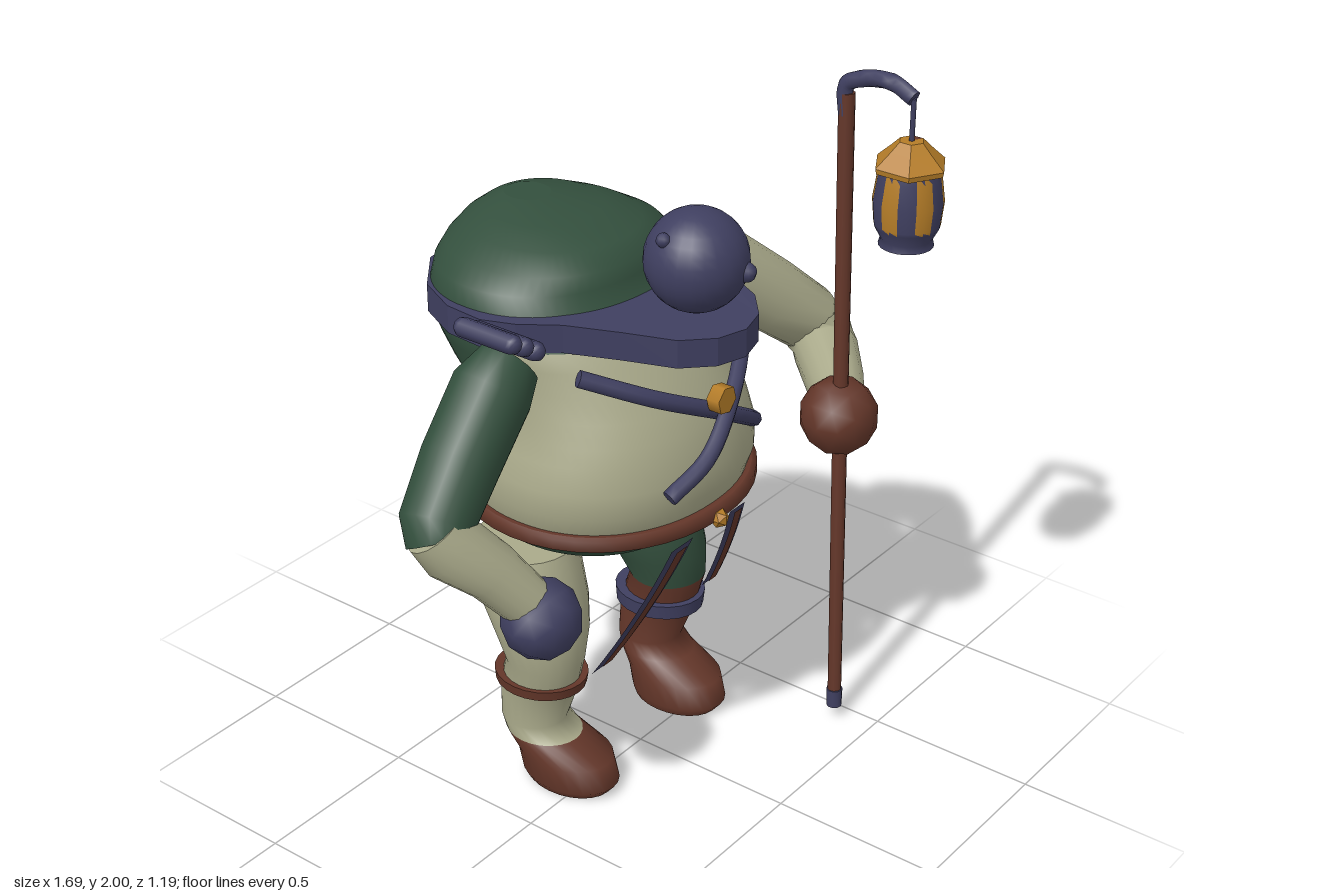
import * as THREE from 'three';

const mat = (name, color) => Object.assign(new THREE.MeshStandardMaterial({ color }), { name });

export function createModel() {
  const cream = mat('cream cloth', 0xa9a98a);
  const green = mat('green cloth', 0x334f3d);
  const blue = mat('slate blue', 0x3f3f60);
  const brown = mat('brown leather', 0x633629);
  const gold = mat('gold', 0xb57d28);
  const blueSheet = mat('slate blue strip', 0x3f3f60);
  blueSheet.side = THREE.DoubleSide;

  const model = new THREE.Group();
  const V = (x, y, z) => new THREE.Vector3(x, y, z);
  const add = (name, geo, material, pos = [0, 0, 0], rot = [0, 0, 0]) => {
    const m = new THREE.Mesh(geo, material);
    m.name = name;
    m.position.set(...pos);
    m.rotation.set(...rot);
    model.add(m);
    return m;
  };

  // Skin over a list of rings, capped at both ends; pick(centroid) gives the material index
  function skin(rings, pick = () => 0) {
    const n = rings[0].length, verts = rings.flat(), lists = [[], [], [], []];
    const tri = (a, b, c) => {
      const mid = verts[a].clone().add(verts[b]).add(verts[c]).divideScalar(3);
      lists[pick(mid)].push(a, b, c);
    };
    for (let i = 0; i < rings.length - 1; i++) {
      for (let j = 0; j < n; j++) {
        const a = i * n + j, b = i * n + (j + 1) % n;
        tri(a, b, a + n);
        tri(b, b + n, a + n);
      }
    }
    [rings[0], rings[rings.length - 1]].forEach((ring, end) => {
      const start = verts.length;
      ring.forEach((p) => verts.push(p.clone()));
      const centre = ring.reduce((s, p) => s.add(p), V(0, 0, 0)).divideScalar(n);
      verts.push(centre);
      for (let j = 0; j < n; j++) {
        const a = start + j, b = start + (j + 1) % n;
        if (end) tri(start + n, a, b); else tri(start + n, b, a);
      }
    });
    const geo = new THREE.BufferGeometry().setFromPoints(verts);
    geo.setIndex(lists.flat());
    let at = 0;
    lists.forEach((l, k) => { if (l.length) geo.addGroup(at, l.length, k); at += l.length; });
    geo.computeVertexNormals();
    return geo;
  }

  // Horizontal ring: height, centre x, half width, front z, back z
  function ring([y, cx, w, front, back], n = 24, power = 1) {
    const bend = (v) => Math.sign(v) * Math.abs(v) ** power;
    return Array.from({ length: n }, (_, j) => {
      const a = (j / n) * Math.PI * 2;
      return V(cx + w * bend(Math.sin(a)), y, (front + back) / 2 + (front - back) / 2 * bend(Math.cos(a)));
    });
  }

  // Limb along points [x, y, z, radius]
  function limb(points, n = 16) {
    const p = points.map((q) => V(q[0], q[1], q[2]));
    return skin(p.map((c, i) => {
      const t = p[Math.min(i + 1, p.length - 1)].clone().sub(p[Math.max(i - 1, 0)]).normalize();
      const u = V(0.1, 0.1, 1).projectOnPlane(t).normalize();
      const v = t.clone().cross(u);
      return Array.from({ length: n }, (_, j) => {
        const a = (j / n) * Math.PI * 2;
        return c.clone().addScaledVector(u, points[i][3] * Math.cos(a)).addScaledVector(v, points[i][3] * Math.sin(a));
      });
    }));
  }
  const tube = (pts, r, n = 8) => limb(new THREE.CatmullRomCurve3(pts.map((q) => V(...q))).getPoints(20).map((q) => [q.x, q.y, q.z, r]), n);

  // Body with hunched green back
  const body = [
    [0.75, 0, 0.29, 0.12, -0.46], [0.82, 0, 0.36, 0.2, -0.47], [0.87, 0, 0.395, 0.24, -0.465],
    [0.95, 0, 0.415, 0.265, -0.455], [1.02, 0, 0.412, 0.265, -0.445], [1.09, 0, 0.39, 0.25, -0.43],
    [1.14, 0, 0.375, 0.235, -0.42], [1.2, 0, 0.365, 0.21, -0.47], [1.27, 0, 0.365, 0.17, -0.54],
    [1.33, 0, 0.375, 0.13, -0.57], [1.38, 0, 0.385, 0.09, -0.585], [1.46, 0, 0.375, 0.02, -0.585],
    [1.51, 0, 0.35, 0, -0.58], [1.55, 0, 0.305, -0.01, -0.565], [1.59, 0, 0.235, -0.06, -0.535],
    [1.62, 0, 0.16, -0.17, -0.495], [1.64, 0, 0.06, -0.32, -0.45],
  ];
  add('body', skin(body.map((r) => ring(r, 64, 0.93)), (c) =>
    (c.y < 0.87 || c.y > 1.4 || (c.y > 1.14 && c.z < -0.13 - (c.y - 1.14) * 0.4) ? 1 : 0)), [cream, green]);

  // Scarf band, pointed over the chest
  const half = [[0, 0.345], [0.09, 0.32], [0.17, 0.25], [0.23, 0.12], [0.3, -0.02], [0.37, -0.12], [0.405, -0.21],
    [0.395, -0.33], [0.33, -0.46], [0.2, -0.565], [0, -0.6]];
  const outline = [...half, ...half.slice(1, -1).reverse().map(([x, z]) => [-x, z])].map((q) => new THREE.Vector2(...q));
  const scarf = new THREE.ExtrudeGeometry(new THREE.Shape(outline), { depth: 0.08, bevelEnabled: false });
  scarf.rotateX(Math.PI / 2).translate(0, 1.465, 0);
  const sp = scarf.attributes.position;
  for (let i = 0; i < sp.count; i++) sp.setY(i, sp.getY(i) - 0.05 * Math.max(0, sp.getZ(i)));
  scarf.computeVertexNormals();
  add('scarf', scarf, blue);
  [[-0.5, 1.49], [-0.455, 1.465], [-0.41, 1.435]].forEach(([x, y]) =>
    add('scarfKnot', new THREE.CapsuleGeometry(0.027, 0.16, 4, 8), blue, [x, y, -0.1], [Math.PI / 2, 0, 0]));

  // Head
  add('head', new THREE.SphereGeometry(0.14, 24, 16), blue, [-0.01, 1.605, 0.19]);
  add('nose', new THREE.SphereGeometry(0.027, 8, 6), blue, [0.03, 1.59, 0.32]);
  add('ear', new THREE.SphereGeometry(0.02, 8, 6), blue, [-0.12, 1.69, 0.165]);

  // Belt, buckle and chest straps
  add('belt', skin([[0.855, 0, 0.415, 0.265, -0.48], [0.86, 0, 0.428, 0.28, -0.49],
    [0.89, 0, 0.428, 0.28, -0.49], [0.897, 0, 0.415, 0.265, -0.48]].map((r) => ring(r, 40, 0.95))), brown);
  add('buckle', new THREE.IcosahedronGeometry(0.028), gold, [-0.015, 0.865, 0.28]);
  add('chestStrap', tube([[-0.35, 1.36, 0.07], [-0.2, 1.28, 0.2], [0, 1.18, 0.26], [0.14, 1.1, 0.25], [0.25, 1.03, 0.2]], 0.023), blue);
  add('chestStrap', tube([[0.32, 1.37, 0.07], [0.2, 1.3, 0.19], [0, 1.19, 0.29], [-0.12, 1.1, 0.31], [-0.24, 1.03, 0.28]], 0.023), blue);
  add('medallion', new THREE.CylinderGeometry(0.04, 0.04, 0.04, 6), gold, [-0.03, 1.24, 0.29], [Math.PI / 2, 0.3, 0]);
  add('backCord', tube([[0.17, 1.01, -0.425], [0.17, 1.08, -0.435], [0.13, 1.14, -0.44], [0.1, 1.19, -0.48]], 0.018), cream);

  // Hanging tabs: curved strips with a leather face
  function tab(x0, y0, x1, y1, width) {
    const strip = (w, lift, trim) => {
      const g = new THREE.PlaneGeometry(w, 1, 1, 8), p = g.attributes.position;
      for (let i = 0; i < p.count; i++) {
        const t = trim + (0.5 - p.getY(i)) * (1 - 2 * trim);
        const y = y0 + (y1 - y0) * t, d = 0.83 - y;
        p.setXYZ(i, p.getX(i) + x0 + (x1 - x0) * t, y, 0.25 - 0.4 * d - 0.24 * d * d + lift);
      }
      g.computeVertexNormals();
      return g;
    };
    add('tabEdge', strip(width, 0, 0), blueSheet);
    add('tabFace', strip(width * 0.5, 0.006, 0.03), brown);
  }
  tab(-0.14, 0.83, -0.19, 0.365, 0.095);
  tab(0.11, 0.83, 0.235, 0.46, 0.07);

  // Legs and boots
  const leg = [[0, 0.245, 0.095, 0.08, -0.19], [0.03, 0.248, 0.112, 0.105, -0.2], [0.1, 0.25, 0.113, 0.085, -0.215],
    [0.15, 0.258, 0.1, -0.02, -0.25], [0.19, 0.262, 0.094, -0.07, -0.26], [0.3, 0.268, 0.095, -0.025, -0.26],
    [0.41, 0.275, 0.112, 0, -0.22], [0.5, 0.265, 0.135, 0.003, -0.265], [0.58, 0.255, 0.148, -0.01, -0.315],
    [0.68, 0.252, 0.15, -0.035, -0.345], [0.74, 0.245, 0.14, -0.06, -0.35]];
  for (const [side, name, cloth, bootTop, cuff] of [[1, 'left', green, 0.41, blue], [-1, 'right', cream, 0.15, brown]]) {
    const place = ([y, cx, w, f, b]) => ring([y, side * (cx + (side < 0 ? 0.015 : 0)), w, f, b]);
    add(name + 'Leg', skin(leg.map(place), (c) => (c.y < bootTop ? 1 : 0)), [cloth, brown]);
    const low = side > 0 ? 0.307 : 0.322;
    add(name + 'LegBand', skin([[low, 0.267, 0.118, 0, -0.27], [0.352, 0.267, 0.122, 0.005, -0.272]].map(place)), cuff);
  }

  // Arms and hands
  add('rightUpperArm', limb([[-0.42, 1.38, -0.1, 0.085], [-0.49, 1.33, -0.1, 0.11], [-0.62, 1.18, -0.1, 0.108],
    [-0.74, 1.06, -0.08, 0.1], [-0.75, 1.02, -0.06, 0.09]]), green);
  add('rightForearm', limb([[-0.76, 1.06, -0.07, 0.085], [-0.73, 1.0, -0.04, 0.092], [-0.66, 0.92, 0.03, 0.08], [-0.59, 0.81, 0.1, 0.07]]), cream);
  add('rightHand', new THREE.IcosahedronGeometry(0.112, 1), blue, [-0.57, 0.765, 0.115]);
  add('leftArm', limb([[0.42, 1.37, -0.1, 0.085], [0.48, 1.33, -0.09, 0.11], [0.63, 1.2, -0.02, 0.108], [0.74, 1.1, 0.04, 0.1],
    [0.755, 1.06, 0.07, 0.1], [0.71, 1.03, 0.13, 0.095], [0.62, 1, 0.22, 0.085], [0.52, 0.98, 0.31, 0.07]]), cream);
  add('leftHand', new THREE.IcosahedronGeometry(0.114, 1), brown, [0.495, 0.975, 0.32]);

  // Staff with tip and hook
  const at = (t) => [0.445 + 0.075 * t, 0.04 + 1.88 * t, 0.38 - 0.095 * t];
  add('staff', limb([[...at(0.02), 0.02], [...at(1), 0.023]], 10), brown);
  add('staffTip', limb([[...at(0), 0.022], [...at(0.03), 0.024]], 10), blue);
  add('hook', tube([[0.518, 1.86, 0.287], [0.52, 1.94, 0.282], [0.521, 1.965, 0.32], [0.522, 1.98, 0.42], [0.522, 1.95, 0.49]], 0.023), blue);
  add('lanternWire', new THREE.CylinderGeometry(0.008, 0.008, 0.13, 6), blue, [0.522, 1.885, 0.49]);

  // Lantern: frame with alternating panes, hexagonal roof
  const hex = (y, r, n) => ring([y, 0.522, r, 0.49 + r, 0.49 - r], n);
  const glass = (c) => (c.y > 1.6 && c.y < 1.75 && Math.floor(((Math.atan2(c.x - 0.522, c.z - 0.49) / Math.PI + 2) * 6 + 0.5)) % 2 ? 1 : 0);
  const frame = skin([[1.54, 0.075], [1.56, 0.07], [1.595, 0.088], [1.605, 0.09], [1.67, 0.096], [1.74, 0.086], [1.765, 0.08]]
    .map(([y, r]) => hex(y, r, 24)), glass);
  add('lanternBody', frame, [blue, gold]);
  const roof = skin([[1.755, 0.1], [1.77, 0.103], [1.81, 0.06], [1.835, 0.035]].map(([y, r]) => hex(y, r, 6)),
    (c) => (c.y > 1.775 && c.x > 0.54 && c.z < 0.51 ? 1 : 0));
  const flatRoof = roof.toNonIndexed();
  flatRoof.computeVertexNormals();
  add('lanternRoof', flatRoof, [gold, brown]);

  return model;
}
